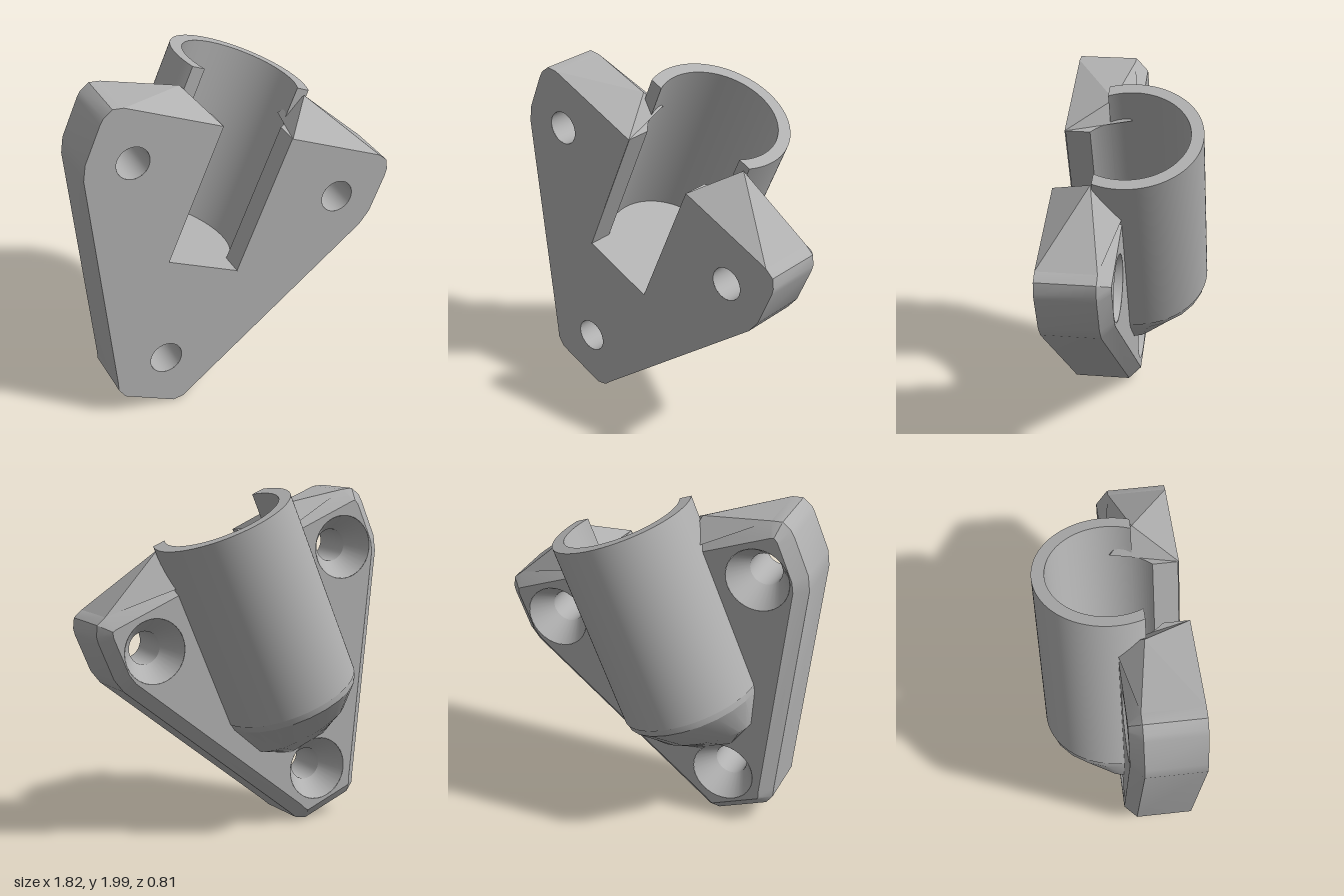
import * as THREE from 'three';
import { toCreasedNormals } from 'three/addons/utils/BufferGeometryUtils.js';

const TILT = THREE.MathUtils.degToRad(23);
const FRONT = 0.4, CHAMFER = 0.07;     // plate front plane, back edge chamfer
const TOP = 1.555, FLOOR = 0.72;       // plate top edge, socket floor
const R_OUT = 0.41, R_IN = 0.34, SLOT = 0.225;

// Surface through successive rows of [x, y, z] points.
function loft(rows, crease = 0.5) {
  const n = rows[0].length, index = [];
  for (let r = 0; r < rows.length - 1; r++) {
    for (let i = 0; i < n - 1; i++) {
      const a = r * n + i, b = a + n;
      index.push(a, b, a + 1, a + 1, b, b + 1);
    }
  }
  const geo = new THREE.BufferGeometry();
  geo.setAttribute('position', new THREE.Float32BufferAttribute(rows.flat(2), 3));
  geo.setIndex(index);
  return toCreasedNormals(geo, crease);
}

// Extrude a cross-section given in (x, -z) upward from y0 to y1.
function extrudeUp(shape, y0, y1) {
  const geo = new THREE.ExtrudeGeometry(shape, { depth: y1 - y0, bevelEnabled: false, curveSegments: 40 });
  return toCreasedNormals(geo.rotateX(-Math.PI / 2).translate(0, y0, 0), 0.5);
}

// Move an open path inward by d.
function inset(path, d) {
  return path.map(([x, y], i) => {
    const p = path[Math.max(i - 1, 0)], q = path[Math.min(i + 1, path.length - 1)];
    const dx = q[0] - p[0], dy = q[1] - p[1], l = Math.hypot(dx, dy);
    return [x + (dy / l) * d, y - (dx / l) * d];
  });
}

export function createModel() {
  const grey = new THREE.MeshStandardMaterial({ color: 0xb0b0b0, side: THREE.DoubleSide });
  grey.name = 'plain grey';
  const body = new THREE.Group();
  body.name = 'bracket';
  const add = (name, geo) => {
    const mesh = new THREE.Mesh(geo, grey);
    mesh.name = name;
    body.add(mesh);
    return mesh;
  };

  // Plate outline, top right around the bottom to top left
  const half = [[0.4, TOP], [0.83, TOP], [0.89, 1.535], [0.92, 1.48], [0.925, 1.44],
    [0.925, 1.21], [0.9, 1.12], [0.24, -0.07], [0.215, -0.12], [0.16, -0.155]];
  const outline = [...half, ...half.map(([x, y]) => [-x, y]).reverse()];
  // Reverse so the inset runs toward the middle
  const path = outline.slice().reverse();
  const backPath = inset(path, -CHAMFER);
  const at = (pts, z) => pts.map(([x, y]) => [x, y, z]);

  const holes = [[-0.664, 1.265], [0.664, 1.265], [0, 0.12]];
  const face = (pts, notch, top, r, z) => {
    const s = new THREE.Shape([[-notch, top], [-notch, FLOOR], [notch, FLOOR], [notch, top], ...pts]
      .map(([x, y]) => new THREE.Vector2(x, y)));
    for (const [x, y] of holes) s.holes.push(new THREE.Path().absarc(x, y, r, 0, Math.PI * 2, true));
    return new THREE.ShapeGeometry(s, 32).translate(0, 0, z);
  };
  add('plateFront', face(outline, SLOT, TOP, 0.095, FRONT));
  const back = face(outline.map((_, i) => backPath[outline.length - 1 - i]), 0.375, TOP - CHAMFER, 0.185, 0);
  // Turn the back face to look backward
  const idx = back.index.array;
  for (let i = 0; i < idx.length; i += 3) [idx[i], idx[i + 1]] = [idx[i + 1], idx[i]];
  for (let i = 0; i < back.attributes.normal.count; i++) back.attributes.normal.setZ(i, -1);
  add('plateBack', back);
  add('plateEdge', loft([at(path, CHAMFER), at(path, FRONT)]));
  add('plateChamfer', loft([at(backPath, 0), at(path, CHAMFER)]));

  // Countersunk screw holes
  const ring = (cx, cy, r, z) => Array.from({ length: 33 }, (_, i) => {
    const a = (i / 32) * Math.PI * 2;
    return [cx + r * Math.cos(a), cy + r * Math.sin(a), z];
  });
  for (const [x, y] of holes) {
    add('screwHole', loft([ring(x, y, 0.185, 0), ring(x, y, 0.095, 0.14), ring(x, y, 0.095, FRONT)]));
  }

  // Open tube wall
  const aOut = Math.asin(0.15 / R_OUT), aIn = Math.asin(0.15 / R_IN);
  const tube = new THREE.Shape();
  tube.absarc(0, 0, R_OUT, -aOut, Math.PI + aOut, false);
  tube.absarc(0, 0, R_IN, Math.PI + aIn, -aIn, true);
  add('tube', extrudeUp(tube, 0.65, 1.76));

  // Socket cheeks between the bore and the front slot
  const aSlot = Math.acos(SLOT / R_IN);
  for (const s of [1, -1]) {
    const cheek = new THREE.Shape();
    cheek.moveTo(s * 0.4, 0);
    cheek.lineTo(s * 0.4, -FRONT + 0.005);
    cheek.lineTo(s * SLOT, -FRONT + 0.005);
    if (s > 0) cheek.absarc(0, 0, R_IN, -aSlot, 0, false);
    else cheek.absarc(0, 0, R_IN, Math.PI + aSlot, Math.PI, true);
    add(s > 0 ? 'leftCheek' : 'rightCheek', extrudeUp(cheek, FLOOR, TOP));
  }

  // Socket floor
  const disc = new THREE.Shape().absarc(0, 0, 0.375, 0, Math.PI * 2, false);
  add('socketFloor', extrudeUp(disc, 0.65, FLOOR));
  add('slotFloor', new THREE.BoxGeometry(SLOT * 2, 0.07, 0.39)).position.set(0, FLOOR - 0.035, 0.2);

  // Tapered lower end of the tube, running down to the bottom hole
  const arch = (y, w, h) => Array.from({ length: 13 }, (_, i) => {
    const a = (i / 12) * Math.PI;
    return [-w * Math.cos(a), y, -h * Math.sin(a)];
  });
  add('tubeTaper', loft([arch(0.66, R_OUT, R_OUT), arch(0.61, 0.4, 0.4), arch(0.41, 0.3, 0.17),
    arch(0.3, 0.13, 0)], 0.3));

  // Faceted gussets rising from the plate top to the tube ends
  for (const [s, apex] of [[1, [0.36, 1.73, 0.16]], [-1, [-0.41, 1.64, 0.14]]]) {
    const base = [[0.33, TOP, 0.03], [SLOT, TOP, FRONT], [0.83, TOP, FRONT], [0.83, TOP, CHAMFER],
      [0.41, TOP - 0.03, 0]].map(([x, y, z]) => [s * x, y, z]);
    const tri = [];
    base.forEach((p, i) => {
      const q = base[(i + 1) % base.length];
      tri.push(...apex, ...(s > 0 ? [...p, ...q] : [...q, ...p]));
    });
    const geo = new THREE.BufferGeometry();
    geo.setAttribute('position', new THREE.Float32BufferAttribute(tri, 3));
    geo.computeVertexNormals();
    add(s > 0 ? 'leftGusset' : 'rightGusset', geo);
  }

  // Lean the whole bracket
  body.position.set(-0.56 * Math.cos(TILT), 0.56 * Math.sin(TILT), 0);
  body.rotation.z = -TILT;
  const model = new THREE.Group();
  model.name = 'tubeBracket';
  model.add(body);
  return model;
}
